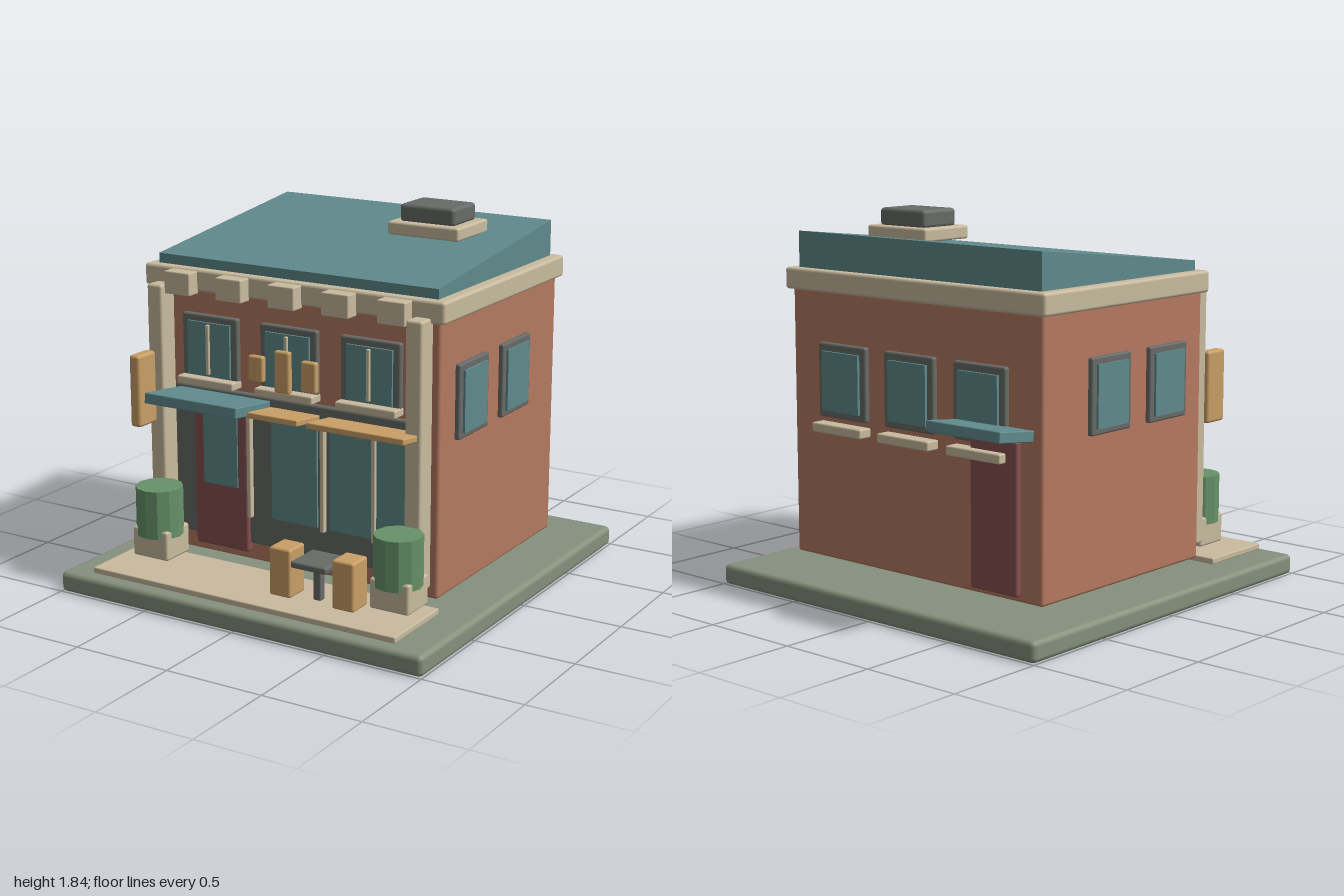
import * as THREE from 'three';
import { RoundedBoxGeometry } from 'three/addons/geometries/RoundedBoxGeometry.js';

const colour = (name, hex) => {
  const m = new THREE.MeshStandardMaterial({ color: hex });
  m.name = name;
  return m;
};

export function createModel() {
  const brick = colour('brick', 0xb57a60);
  const teal = colour('teal', 0x608b8d);
  const stone = colour('stone', 0xc9bb9f);
  const grey = colour('grey', 0x686b68);
  const lawn = colour('lawn', 0x86917d);
  const leaf = colour('leaf', 0x67936a);
  const wood = colour('wood', 0xc99f65);
  const red = colour('red', 0x855050);

  const model = new THREE.Group();
  model.name = 'shop';

  const group = (name, parent = model) => {
    const g = new THREE.Group();
    g.name = name;
    parent.add(g);
    return g;
  };
  const add = (parent, name, geometry, material) => {
    const m = new THREE.Mesh(geometry, material);
    m.name = name;
    parent.add(m);
    return m;
  };
  // box between two corners, with softened edges unless r is 0
  const box = (parent, name, mat, [x0, x1], [y0, y1], [z0, z1], r = 0.012) => {
    const w = x1 - x0, h = y1 - y0, d = z1 - z0;
    const radius = Math.min(r, Math.min(w, h, d) * 0.3);
    const geo = r ? new RoundedBoxGeometry(w, h, d, 2, radius) : new THREE.BoxGeometry(w, h, d);
    const m = add(parent, name, geo, mat);
    m.position.set((x0 + x1) / 2, (y0 + y1) / 2, (z0 + z1) / 2);
    return m;
  };
  const around = (c, half) => [c - half, c + half];

  // ground
  box(model, 'ground', lawn, [-1, 1], [0, 0.1], [-1, 1], 0.025);
  box(model, 'patio', stone, [-0.84, 0.835], [0.108, 0.138], [0.54, 0.945], 0.006);

  // main walls, cornice and sloping roof
  box(model, 'walls', brick, [-0.79, 0.79], [0.147, 1.46], [-0.695, 0.478], 0.015);
  box(model, 'cornice', stone, [-0.82, 0.82], [1.45, 1.555], [-0.72, 0.5], 0.015);
  const profile = new THREE.Shape([
    new THREE.Vector2(-0.455, 1.54), new THREE.Vector2(0.675, 1.54),
    new THREE.Vector2(0.675, 1.73), new THREE.Vector2(-0.455, 1.602),
  ]);
  const roof = new THREE.ExtrudeGeometry(profile, { depth: 1.53, bevelEnabled: false });
  roof.rotateY(Math.PI / 2).translate(-0.765, 0, 0);
  add(model, 'roof', roof, teal);

  // roof vent
  const vent = group('roofVent');
  box(vent, 'ventBase', stone, [0.165, 0.55], [1.69, 1.755], [-0.425, -0.12]);
  box(vent, 'ventCap', grey, [0.21, 0.505], [1.75, 1.838], [-0.385, -0.16], 0.018);

  // cornice blocks and corner pilasters
  const trim = group('frontTrim');
  for (let i = -2; i <= 2; i++) {
    box(trim, 'corniceBlock', stone, around(i * 0.292, 0.072), [1.437, 1.547], [0.49, 0.568], 0.006);
  }
  for (const s of [-1, 1]) {
    box(trim, 'pilaster', stone, around(s * 0.709, 0.042), [0.198, 1.475], [0.47, 0.58]);
  }

  // upper windows on the front
  for (const x of [-0.443, 0, 0.443]) {
    const w = group('frontWindow');
    box(w, 'windowFrame', grey, around(x, 0.158), [1.03, 1.342], [0.47, 0.505]);
    box(w, 'windowGlass', teal, around(x, 0.121), [1.045, 1.308], [0.5, 0.517], 0);
    box(w, 'windowBar', stone, around(x, 0.009), [1.055, 1.3], [0.51, 0.53], 0.004);
    box(w, 'windowSill', stone, around(x, 0.16), [1.0, 1.04], [0.47, 0.555], 0.008);
  }

  // rear windows
  for (const x of [-0.437, 0, 0.437]) {
    const w = group('rearWindow');
    box(w, 'windowFrame', grey, around(x, 0.158), [0.85, 1.21], [-0.722, -0.685]);
    box(w, 'windowGlass', teal, around(x, 0.121), [0.885, 1.172], [-0.736, -0.715], 0);
    box(w, 'windowSill', stone, around(x, 0.163), [0.78, 0.826], [-0.767, -0.69], 0.008);
  }

  // side windows, two per side
  for (const s of [-1, 1]) {
    for (const z of [0.19, -0.238]) {
      const w = group('sideWindow');
      box(w, 'windowFrame', grey, around(s * 0.798, 0.016), [0.877, 1.235], around(z, 0.143));
      box(w, 'windowGlass', teal, around(s * 0.815, 0.01), [0.907, 1.202], around(z, 0.111), 0);
    }
  }

  // shop front with glazing, bars and door
  const shop = group('shopFront');
  box(shop, 'shopFrame', grey, [-0.65, 0.65], [0.243, 0.988], [0.47, 0.508]);
  for (const [a, b] of [[-0.087, 0.165], [0.235, 0.712]]) {
    box(shop, 'shopGlass', teal, [a, b], [0.395, 0.915], [0.5, 0.52], 0);
  }
  for (const x of [-0.21, 0.2, 0.477]) {
    box(shop, 'shopBar', stone, around(x, 0.011), [0.38, 0.93], [0.5, 0.535], 0.005);
  }
  box(shop, 'frontDoor', red, [-0.525, -0.22], [0.2, 0.925], [0.48, 0.53]);
  box(shop, 'doorGlass', teal, [-0.467, -0.273], [0.52, 0.873], [0.528, 0.537], 0);
  box(model, 'rearDoor', red, [-0.665, -0.385], [0.175, 0.885], [-0.726, -0.68]);

  // tilted awnings: centre, size, tilt
  const awnings = group('awnings');
  const awning = (name, mat, x, y, z, w, h, d, tilt) => {
    const m = box(awnings, name, mat, around(x, w / 2), around(y, h / 2), around(z, d / 2), 0.006);
    m.rotation.x = tilt;
  };
  awning('doorAwning', teal, -0.36, 0.963, 0.645, 0.52, 0.052, 0.3, -0.12);
  awning('narrowAwning', wood, 0.037, 0.94, 0.595, 0.275, 0.03, 0.22, -0.12);
  awning('wideAwning', wood, 0.478, 0.94, 0.595, 0.51, 0.03, 0.22, -0.12);
  awning('rearAwning', teal, -0.53, 0.932, -0.82, 0.44, 0.052, 0.23, 0.12);

  // wooden signs
  const signs = group('signs');
  box(signs, 'bladeSign', wood, [-0.772, -0.712], [0.795, 1.15], [0.57, 0.71], 0.015);
  for (const [x, y0, y1] of [[-0.117, 1.085, 1.21], [0.028, 1.05, 1.25], [0.173, 1.072, 1.22]]) {
    box(signs, 'signBlock', wood, around(x, 0.041), [y0, y1], [0.572, 0.607]);
  }

  // planters with clipped shrubs
  for (const x of [-0.63, 0.7]) {
    const p = group('planter');
    box(p, 'pot', stone, around(x, 0.102), [0.168, 0.315], around(0.677, 0.092));
    const shrubGeo = new THREE.CylinderGeometry(0.115, 0.115, 0.24, 12).toNonIndexed();
    shrubGeo.computeVertexNormals();
    add(p, 'shrub', shrubGeo, leaf).position.set(x, 0.395, 0.682);
  }

  // table and chairs
  const seating = group('seating');
  for (const x of [0.137, 0.477]) {
    box(seating, 'chair', wood, around(x, 0.058), [0.138, 0.375], [0.672, 0.802]);
  }
  box(seating, 'tableTop', grey, around(0.309, 0.096), [0.304, 0.337], around(0.732, 0.096));
  box(seating, 'tableLeg', grey, around(0.309, 0.02), [0.138, 0.31], around(0.732, 0.02), 0.006);

  return model;
}
